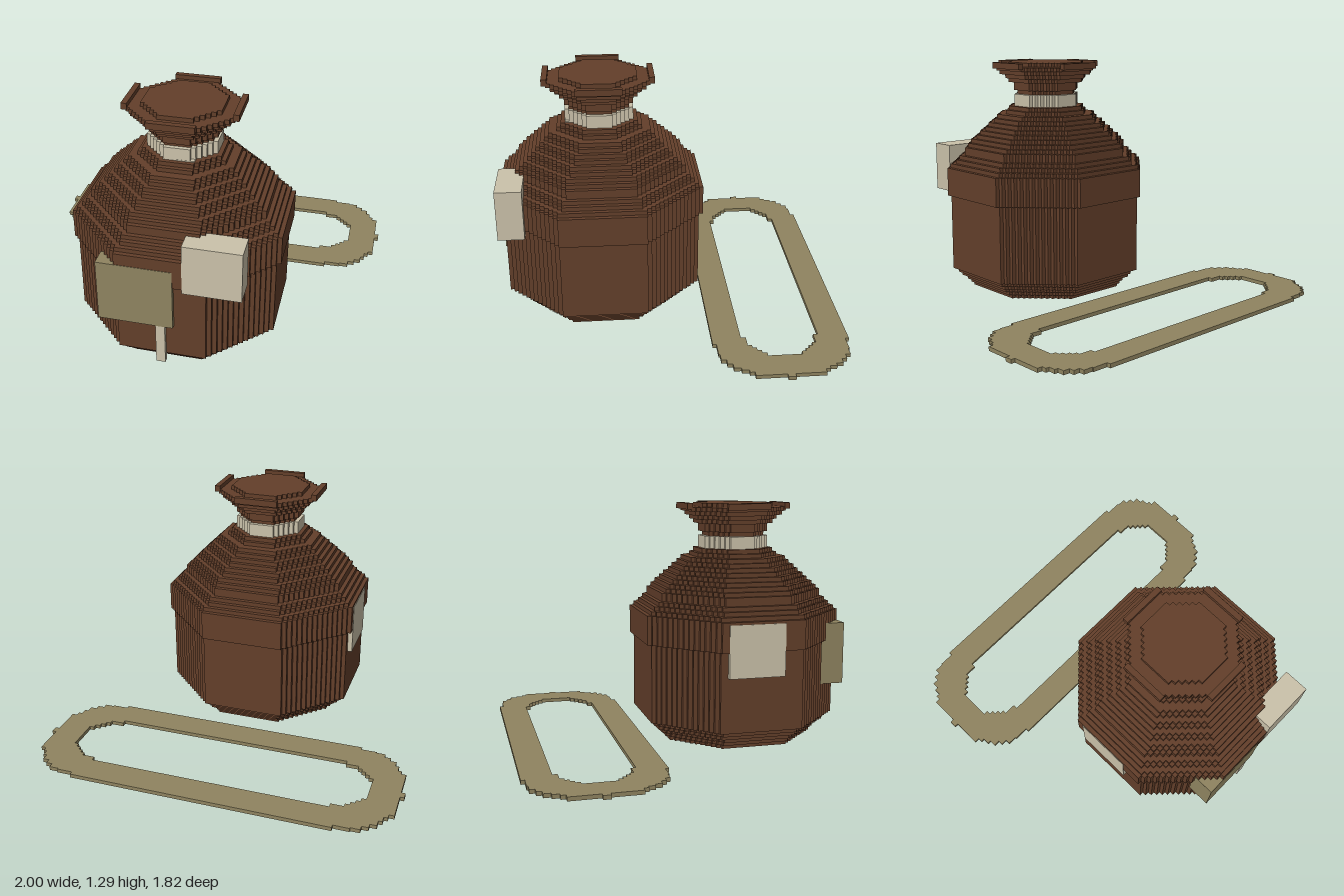
import * as THREE from 'three';
import { mergeGeometries } from 'three/addons/utils/BufferGeometryUtils.js';

const U = 0.0227; // size of one block step
const CZ = 0.363; // centre of the sack in z
const snap = (v) => Math.round(v / U) * U;

const material = (name, color) => {
  const m = new THREE.MeshStandardMaterial({ color });
  m.name = name;
  return m;
};

// Turns one quarter outline, from the x axis to the y axis, into a closed stepped outline
function steppedOutline(quarter) {
  const q = [quarter[0]];
  for (let i = 1; i < quarter.length; i++) {
    const [ax, ay] = quarter[i - 1], [bx, by] = quarter[i];
    const dx = bx - ax, dy = by - ay;
    const n = Math.max(1, Math.round(Math.min(Math.abs(dx), Math.abs(dy)) / U));
    for (let k = 1; k <= n; k++) {
      const x = ax + (dx * k) / n, y = ay + (dy * k) / n;
      if (Math.abs(dx) > 1e-6 && Math.abs(dy) > 1e-6) q.push([x, ay + (dy * (k - 1)) / n]);
      q.push([x, y]);
    }
  }
  const mirror = (sx, sy) => q.map(([x, y]) => new THREE.Vector2(x * sx, y * sy));
  return [
    ...mirror(1, 1), ...mirror(-1, 1).reverse(),
    ...mirror(-1, -1), ...mirror(1, -1).reverse(),
  ];
}

// Lays an outline flat and gives it height
function slab(shape, y, height) {
  const g = new THREE.ExtrudeGeometry(shape, { depth: height, bevelEnabled: false });
  g.rotateX(-Math.PI / 2);
  g.translate(0, y, 0);
  return g;
}

function octagon(w) {
  const f = snap(w * 0.42);
  return new THREE.Shape(steppedOutline([[w, f], [f, w]]));
}

// Half width at a height, from a [height, half width] profile
function widthAt(profile, y) {
  for (let i = 1; i < profile.length; i++) {
    const [y0, w0] = profile[i - 1], [y1, w1] = profile[i];
    if (y <= y1) return snap(w0 + ((w1 - w0) * (y - y0)) / (y1 - y0));
  }
  return snap(profile[profile.length - 1][1]);
}

// Stacks octagonal layers, joining neighbours of equal width
function stack(profile, first, last) {
  const parts = [];
  for (let i = first; i < last;) {
    const w = widthAt(profile, (i + 0.5) * U);
    let j = i + 1;
    while (j < last && Math.abs(widthAt(profile, (j + 0.5) * U) - w) < 1e-6) j++;
    parts.push(slab(octagon(w), i * U, (j - i) * U));
    i = j;
  }
  return mergeGeometries(parts);
}

export function createModel() {
  const model = new THREE.Group();
  const brown = material('sackBrown', 0x633f2a);
  const olive = material('oliveCloth', 0x8f8460);
  const cream = material('creamCloth', 0xcbc2aa);

  const sack = new THREE.Group();
  sack.name = 'sack';
  sack.position.z = CZ;
  model.add(sack);

  const add = (parent, name, geometry, mat) => {
    const mesh = new THREE.Mesh(geometry, mat);
    mesh.name = name;
    parent.add(mesh);
  };
  // Box from its two corners
  const box = (x0, x1, y0, y1, z0, z1) => new THREE.BoxGeometry(x1 - x0, y1 - y0, z1 - z0)
    .translate((x0 + x1) / 2, (y0 + y1) / 2, (z0 + z1) / 2);

  // Sack body with a slightly wider waist
  const body = [[0, 0.405], [0.115, 0.522], [0.544, 0.522], [0.546, 0.545], [0.68, 0.545],
    [0.72, 0.522], [0.80, 0.45], [0.90, 0.37], [0.97, 0.30], [1.044, 0.18]];
  add(sack, 'body', stack(body, 0, 46), brown);

  // Tie around the neck, with its knot at the front
  add(sack, 'neckTie', stack([[1, 0.18], [1.2, 0.18]], 46, 49), cream);
  add(sack, 'knot', mergeGeometries([
    box(-0.07, 0.09, 1.03, 1.05, 0.14, 0.181),
    box(0.0, 0.05, 1.022, 1.05, 0.15, 0.183),
  ]), cream);

  // Flared mouth with a raised middle
  const mouth = [[1.112, 0.155], [1.14, 0.165], [1.20, 0.22], [1.25, 0.255], [1.272, 0.272]];
  add(sack, 'mouth', stack(mouth, 49, 56), brown);
  add(sack, 'mouthTop', slab(octagon(snap(0.205)), 56 * U, U), brown);

  // Raised lip on the four straight sides of the mouth
  const lips = [];
  for (let i = 0; i < 4; i++) {
    lips.push(box(0.265, 0.295, 1.26, 57 * U, -0.12, 0.12).rotateY((i * Math.PI) / 2));
  }
  add(sack, 'lip', mergeGeometries(lips), brown);

  // Patches and the hanging strip
  add(model, 'frontPatch', box(-0.32, 0.065, 0.30, 0.64, 0.78, 0.91), olive);
  add(model, 'cornerPatch', box(0.113, 0.408, 0.525, 0.80, 0.77, 0.91), cream);
  add(model, 'hangingStrip', box(-0.025, 0.023, 0.07, 0.30, 0.88, 0.908), cream);
  add(model, 'sidePatch', box(-0.548, -0.50, 0.41, 0.69, 0.175, 0.48), cream);

  // Long strap loop lying on the ground behind
  const loop = new THREE.Shape(steppedOutline([
    [1, 0.02], [0.978, 0.02], [0.978, 0.18], [0.95, 0.205], [0.91, 0.28], [0.84, 0.335],
    [0.79, 0.342], [0.705, 0.342], [0.705, 0.362],
  ]));
  loop.holes.push(new THREE.Path(steppedOutline([
    [0.82, 0.09], [0.795, 0.115], [0.725, 0.18], [0.655, 0.18], [0.655, 0.206],
  ])));
  const strap = slab(loop, 0, 0.021);
  strap.translate(0, 0, -0.548);
  add(model, 'strapLoop', strap, olive);

  return model;
}
